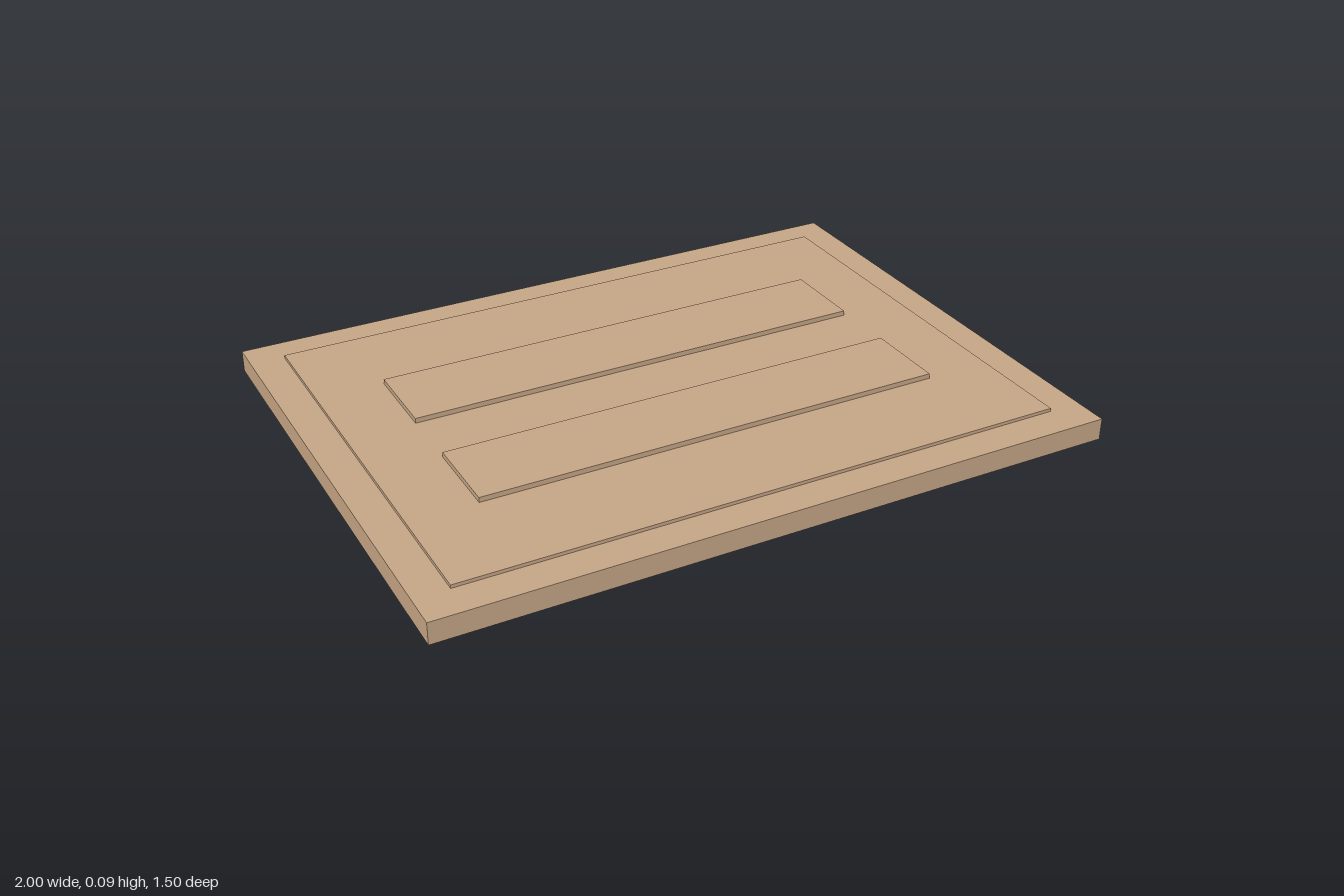
import * as THREE from 'three';

export function createModel() {
  const model = new THREE.Group();
  model.name = 'panelledBoard';
  const tan = new THREE.MeshStandardMaterial({ color: 0xc4a484 });
  tan.name = 'tan';

  // Adds a flat slab standing on height y
  const slab = (name, width, height, depth, y, z = 0) => {
    const mesh = new THREE.Mesh(new THREE.BoxGeometry(width, height, depth), tan);
    mesh.name = name;
    mesh.position.set(0, y + height / 2, z);
    model.add(mesh);
  };

  // Base board and raised panel
  slab('baseBoard', 2, 0.065, 1.5, 0);
  slab('raisedPanel', 1.8, 0.01, 1.3, 0.065);

  // Two long strips on the panel
  slab('frontStrip', 1.4, 0.015, 0.25, 0.075, 0.225);
  slab('backStrip', 1.4, 0.015, 0.25, 0.075, -0.225);

  return model;
}
